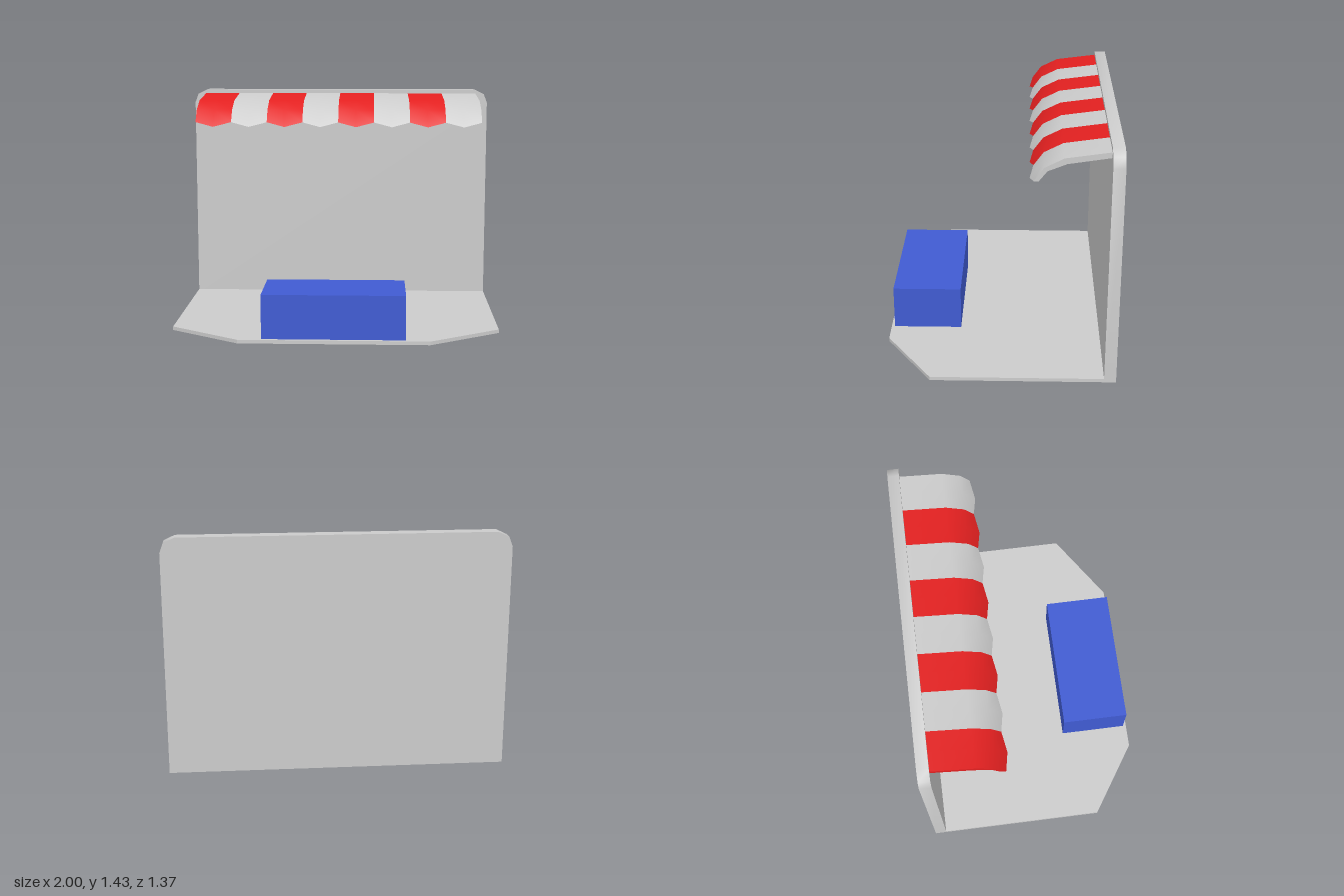
import * as THREE from 'three';
import { toCreasedNormals } from 'three/addons/utils/BufferGeometryUtils.js';

const GREY = 0xcccccc, RED = 0xe32020, BLUE = 0x405bd2;

function part(name, geometry, color = GREY) {
  const mesh = new THREE.Mesh(geometry, new THREE.MeshStandardMaterial({ color }));
  mesh.name = name;
  return mesh;
}

function slab(points, depth) {
  const shape = new THREE.Shape(points.map(([x, y]) => new THREE.Vector2(x, y)));
  return new THREE.ExtrudeGeometry(shape, { depth, bevelEnabled: false });
}

// Closed awning section as [z, y, scallop drop, scallop reach]: top back to front, then underside front to back
const SECTION = [
  [-0.62, 1.405, 0, 0], [-0.36, 1.37, 0, 0], [-0.25, 1.315, 0, 0], [-0.193, 1.237, 0.029, 0.021],
  [-0.222, 1.237, 0.029, 0.018], [-0.268, 1.295, 0.008, 0], [-0.375, 1.337, 0, 0], [-0.62, 1.372, 0, 0],
];
const STRIPES = 8, HALF_WIDTH = 0.933;

// One awning stripe: three sections (edge, drooping middle, edge) joined by quads
function stripeGeometry(index) {
  const n = SECTION.length, positions = [], faces = [];
  for (let col = 0; col < 3; col++) {
    const x = HALF_WIDTH * (2 * (index + col / 2) / STRIPES - 1);
    const droop = col === 1 ? 1 : 0;
    for (const [z, y, drop, reach] of SECTION) {
      const taper = 0.988 + 0.012 * (z + 0.62) / 0.44; // slightly narrower at the wall
      positions.push(x * taper - 0.002, y - drop * droop, z + reach * droop);
    }
  }
  const quad = (a, b, c, d) => faces.push(a, b, c, a, c, d);
  for (let col = 0; col < 2; col++) {
    for (let j = 0; j < n; j++) {
      const k = (j + 1) % n, a = col * n, b = a + n;
      quad(a + j, a + k, b + k, b + j);
    }
  }
  // Closed ends of the whole awning
  for (let j = 0; j < n / 2 - 1; j++) {
    const ring = [j, j + 1, n - 2 - j, n - 1 - j];
    if (index === 0) quad(...[...ring].reverse());
    if (index === STRIPES - 1) quad(...ring.map((v) => v + 2 * n));
  }
  const geometry = new THREE.BufferGeometry();
  geometry.setAttribute('position', new THREE.Float32BufferAttribute(positions, 3));
  geometry.setIndex(faces);
  return toCreasedNormals(geometry, 0.6);
}

export function createModel() {
  const model = new THREE.Group();
  model.name = 'marketStall';

  // Floor with clipped front corners
  const floor = slab([[-1, 0.62], [-1, -0.4], [-0.57, -0.685], [0.57, -0.685], [1, -0.4], [1, 0.62]], 0.022);
  floor.rotateX(-Math.PI / 2);
  model.add(part('floor', floor));

  // Back wall with rounded top corners
  const corner = [[1, 1.342], [0.978, 1.4], [0.914, 1.43]];
  const outline = [[-1, 0], [1, 0], ...corner, ...corner.map(([x, y]) => [-x, y]).reverse()];
  const wall = toCreasedNormals(slab(outline, 0.07), 0.8);
  wall.translate(0, 0, -0.687);
  model.add(part('backWall', wall));

  // Counter
  const counter = part('counter', new THREE.BoxGeometry(0.855, 0.268, 0.418), BLUE);
  counter.position.set(-0.002, 0.156, 0.456);
  model.add(counter);

  // Striped awning
  const awning = new THREE.Group();
  awning.name = 'awning';
  for (let i = 0; i < STRIPES; i++) {
    awning.add(part(`awningStripe${i + 1}`, stripeGeometry(i), i % 2 ? GREY : RED));
  }
  model.add(awning);

  return model;
}
